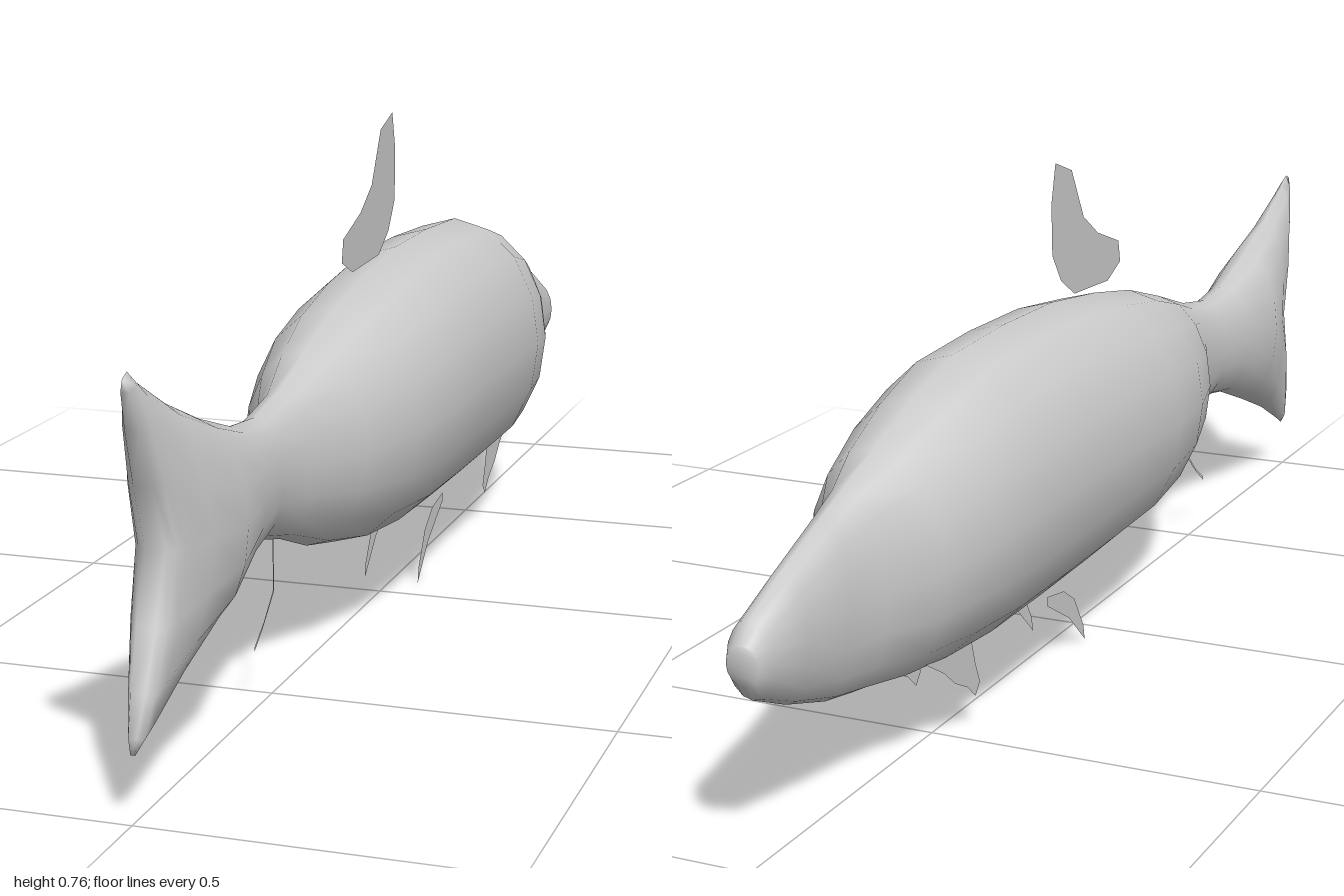
import * as THREE from 'three';

const material = new THREE.MeshStandardMaterial({ color: 0xcccccc, side: THREE.DoubleSide });

// Body sections from snout to tail: z, bottom, top, half width, depth of the tail notch
const sections = [
  [-1.0, 0.25, 0.305, 0.024, 0],
  [-0.98, 0.225, 0.33, 0.035, 0],
  [-0.9, 0.19, 0.37, 0.038, 0],
  [-0.8, 0.158, 0.41, 0.045, 0],
  [-0.73, 0.145, 0.437, 0.057, 0],
  [-0.65, 0.135, 0.467, 0.105, 0],
  [-0.54, 0.125, 0.508, 0.133, 0],
  [-0.42, 0.12, 0.54, 0.15, 0],
  [-0.25, 0.122, 0.548, 0.153, 0],
  [-0.08, 0.126, 0.546, 0.154, 0],
  [0.08, 0.131, 0.528, 0.15, 0],
  [0.22, 0.145, 0.504, 0.132, 0],
  [0.35, 0.175, 0.467, 0.095, 0],
  [0.46, 0.216, 0.432, 0.047, 0],
  [0.56, 0.243, 0.416, 0.042, 0],
  [0.65, 0.228, 0.425, 0.05, 0],
  [0.76, 0.188, 0.461, 0.067, 0],
  [0.87, 0.145, 0.506, 0.05, 0.03],
  [0.96, 0.1, 0.553, 0.035, 0.07],
  [0.985, 0.086, 0.571, 0.026, 0.082],
  [1.0, 0.092, 0.565, 0.014, 0.09],
];

// Lofts oval rings through the sections and closes both ends
function loft(rows, sides) {
  const pos = [], index = [];
  for (const [z, lo, hi, w, notch] of rows) {
    for (let i = 0; i < sides; i++) {
      const a = (i / sides) * Math.PI * 2, c = Math.cos(a);
      pos.push(w * Math.sin(a), (lo + hi) / 2 + c * (hi - lo) / 2, z - notch * (1 - Math.abs(c)));
    }
  }
  for (let k = 0; k < rows.length - 1; k++) {
    for (let i = 0; i < sides; i++) {
      const p = k * sides + i, q = k * sides + (i + 1) % sides;
      index.push(p, p + sides, q, q, p + sides, q + sides);
    }
  }
  // End caps join the left and right halves of the end rings
  const last = (rows.length - 1) * sides;
  for (let i = 0; i < sides / 2; i++) {
    const a = i, b = (sides - i) % sides, c = sides - i - 1, d = i + 1;
    if (a !== b) index.push(last + a, last + b, last + c, a, c, b);
    if (c !== d) index.push(last + a, last + c, last + d, a, d, c);
  }
  const geometry = new THREE.BufferGeometry();
  geometry.setAttribute('position', new THREE.Float32BufferAttribute(pos, 3));
  geometry.setIndex(index);
  geometry.computeVertexNormals();
  return geometry;
}

// Flat fin from a z, y outline, standing in the plane of the given x
function fin(name, outline, x) {
  const shape = new THREE.Shape(outline.map(([z, y]) => new THREE.Vector2(z, y)));
  const geometry = new THREE.ShapeGeometry(shape).rotateY(-Math.PI / 2);
  const mesh = new THREE.Mesh(geometry, material);
  mesh.name = name;
  mesh.position.x = x;
  return mesh;
}

const dorsal = [[0.17, 0.562], [0.163, 0.597], [0.08, 0.625], [0.025, 0.66], [-0.02, 0.74], [-0.08, 0.76],
  [-0.095, 0.7], [-0.092, 0.62], [-0.06, 0.575], [-0.01, 0.545], [0.12, 0.54]];
const pectoral = [[-0.61, 0.15], [-0.47, 0.15], [-0.455, 0.1], [-0.44, 0.065], [-0.455, 0.048],
  [-0.48, 0.07], [-0.52, 0.09], [-0.55, 0.115]];
const pelvic = [[-0.2, 0.115], [-0.2, 0.1], [-0.12, 0.055], [-0.06, 0], [-0.065, 0.025], [-0.1, 0.08], [-0.14, 0.105]];
const anal = [[0.488, 0.24], [0.488, 0.147], [0.535, 0.107], [0.568, 0.084], [0.568, 0.09],
  [0.53, 0.115], [0.492, 0.15], [0.492, 0.24]];

export function createModel() {
  const fish = new THREE.Group();
  fish.name = 'fish';

  const body = new THREE.Mesh(loft(sections, 16), material);
  body.name = 'bodyAndTail';
  fish.add(body);

  // Single fins on the centre line
  fish.add(fin('dorsalFin', dorsal, -0.005), fin('analFin', anal, 0));

  // Paired fins under the belly
  for (const [side, s] of [['left', 1], ['right', -1]]) {
    fish.add(fin(side + 'PectoralFin', pectoral, s * 0.048));
    fish.add(fin(side + 'PelvicFin', pelvic, s * 0.045));
  }
  return fish;
}
